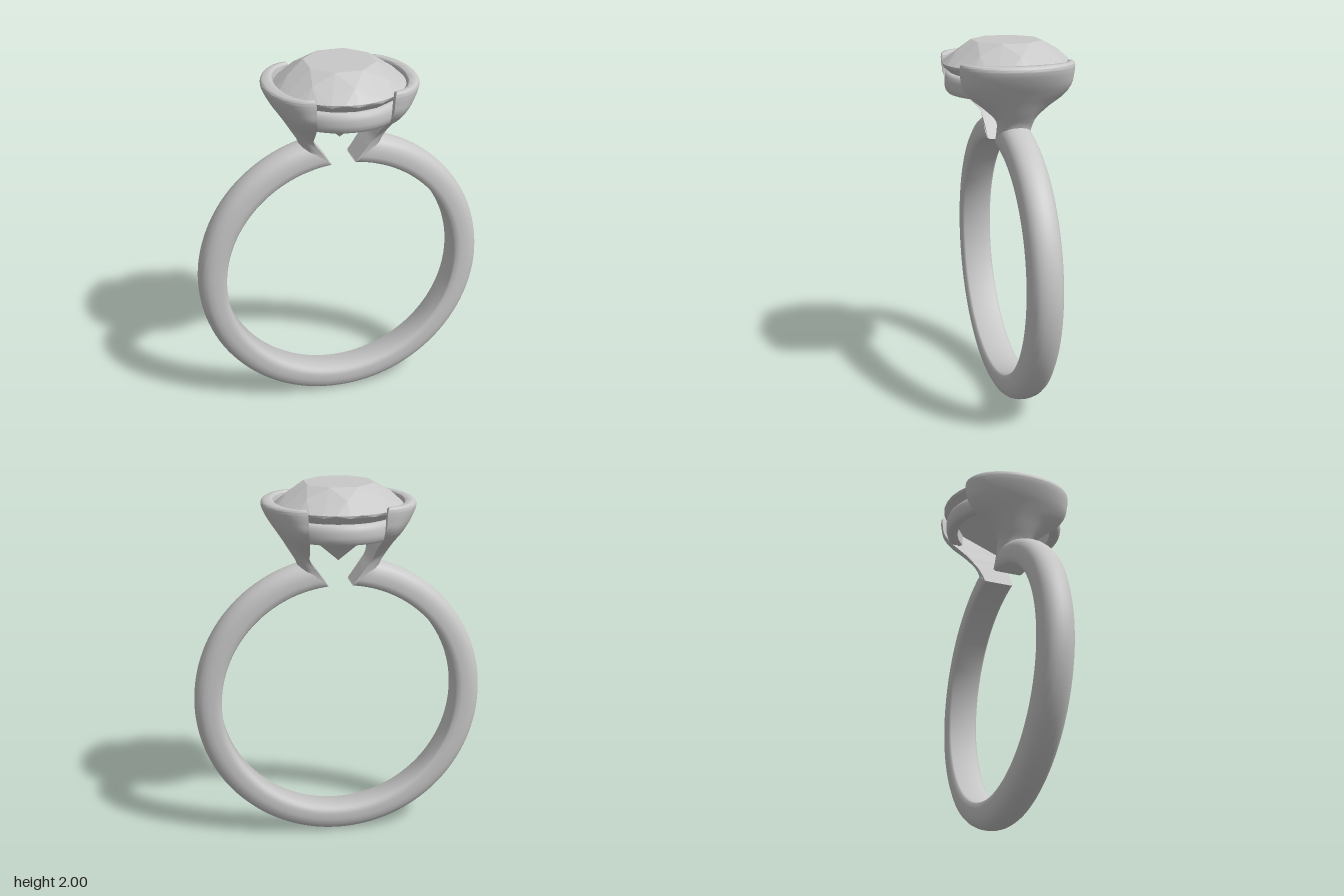
import * as THREE from 'three';
import { toCreasedNormals } from 'three/addons/utils/BufferGeometryUtils.js';
import { ConvexGeometry } from 'three/addons/geometries/ConvexGeometry.js';

// Skin a series of closed rings; each end is closed by a strip pairing point j with its mirror.
function loft(rings, crease = 0.75) {
  const m = rings[0].length, index = [];
  rings.slice(1).forEach((_, i) => {
    for (let j = 0; j < m; j++) {
      const a = i * m + j, b = i * m + (j + 1) % m;
      index.push(a, a + m, b, b, a + m, b + m);
    }
  });
  const last = (rings.length - 1) * m;
  for (let j = 0; j < m / 2 - 1; j++) {
    const o = j, p = j + 1, n = m - 1 - j, q = m - 2 - j;
    index.push(o, p, n, p, q, n);
    index.push(last + o, last + n, last + p, last + p, last + n, last + q);
  }
  const g = new THREE.BufferGeometry();
  g.setAttribute('position', new THREE.Float32BufferAttribute(rings.flat(2), 3));
  g.setIndex(index);
  return toCreasedNormals(g, crease);
}

// Open hoop, flat inside and rounded outside, with slanted ends
function bandGeometry() {
  const half = [[0.655, 0.075], [0.664, 0.086], [0.69, 0.09], [0.725, 0.089], [0.752, 0.083],
    [0.775, 0.07], [0.79, 0.05], [0.798, 0.025], [0.8, 0]];
  const section = [...half, ...half.slice(0, -1).reverse().map(([r, z]) => [r, -z])];
  const rings = [];
  for (let i = 0; i <= 120; i++) {
    rings.push(section.map(([r, z]) => {
      const start = THREE.MathUtils.mapLinear(r, 0.655, 0.8, 0.1, 0.285);
      const a = THREE.MathUtils.lerp(start, 2 * Math.PI - start, i / 120);
      return [r * Math.sin(a), 0.8 + r * Math.cos(a), z];
    }));
  }
  return loft(rings);
}

// Stem flaring from the band end into a curved wall that cups the stone
function cupGeometry() {
  // inner x, inner y, outer x, outer y, edge x, outer half width, inner half width, roundness
  const levels = [
    [0.068, 1.457, 0.225, 1.562, 0.068, 0.086, 0.082, 0.4],
    [0.12, 1.53, 0.235, 1.59, 0.12, 0.09, 0.085, 0.45],
    [0.168, 1.6, 0.268, 1.643, 0.168, 0.106, 0.098, 0.55],
    [0.185, 1.665, 0.303, 1.7, 0.177, 0.17, 0.15, 0.75],
    [0.215, 1.73, 0.336, 1.75, 0.19, 0.25, 0.22, 0.9],
    [0.27, 1.79, 0.37, 1.8, 0.2, 0.293, 0.26, 1],
    [0.325, 1.845, 0.398, 1.85, 0.202, 0.304, 0.268, 1],
    [0.342, 1.885, 0.411, 1.885, 0.204, 0.307, 0.27, 1],
    [0.345, 1.905, 0.406, 1.904, 0.208, 0.303, 0.272, 1],
    [0.352, 1.912, 0.392, 1.912, 0.215, 0.295, 0.278, 1],
  ];
  const tracks = levels[0].map((_, k) =>
    new THREE.SplineCurve(levels.map((l, i) => new THREE.Vector2(i, l[k]))));
  const rings = [], N = 28, steps = 45;
  for (let i = 0; i <= steps; i++) {
    const [xi, yi, xo, yo, ex, w, wi, p] = tracks.map((c) => c.getPoint(i / steps).y);
    const point = (j, x, width) => {
      const a = (j / N - 0.5) * Math.PI;
      const px = ex + (x - ex) * Math.pow(Math.max(0, Math.cos(a)), p);
      const t = THREE.MathUtils.clamp((px - xi) / (xo - xi), 0, 1);
      return [px, yi + (yo - yi) * t, width * Math.sin(a)];
    };
    const ring = [];
    for (let j = 0; j <= N; j++) ring.push(point(j, xo, w));
    for (let j = N; j >= 0; j--) ring.push(point(j, xi, wi));
    rings.push(ring);
  }
  return loft(rings, 0.8);
}

// Curved bar under the stone
function galleryGeometry() {
  const profile = [[0.265, 1.735], [0.3, 1.724], [0.315, 1.727], [0.326, 1.742], [0.331, 1.765], [0.331, 1.795],
    [0.326, 1.818], [0.315, 1.83], [0.3, 1.833], [0.265, 1.825], [0.265, 1.735]];
  return toCreasedNormals(
    new THREE.LatheGeometry(profile.map(([r, y]) => new THREE.Vector2(r, y)), 32, -0.8, 1.6), 0.75);
}

// Round brilliant: table, star points, girdle and pointed base
function gemGeometry() {
  const points = [new THREE.Vector3(0, 1.575, 0)];
  const ring = (n, r, y, offset) => {
    for (let i = 0; i < n; i++) {
      const a = ((i + offset) / n) * 2 * Math.PI;
      points.push(new THREE.Vector3(r * Math.sin(a), y, r * Math.cos(a)));
    }
  };
  ring(8, 0.19, 2, 0.5);
  ring(8, 0.278, 1.946, 0);
  ring(32, 0.346, 1.885, 0);
  ring(16, 0.344, 1.87, 0);
  return new ConvexGeometry(points);
}

export function createModel() {
  const silver = new THREE.MeshStandardMaterial({ color: 0xc8c8c8 });
  silver.name = 'silver grey';
  const group = new THREE.Group();
  group.name = 'ring';
  const add = (name, geometry, turn = 0) => {
    const mesh = new THREE.Mesh(geometry, silver);
    mesh.name = name;
    mesh.rotation.y = turn;
    group.add(mesh);
  };
  add('band', bandGeometry());
  add('gemstone', gemGeometry());
  const cup = cupGeometry(), gallery = galleryGeometry();
  add('leftCup', cup);
  add('rightCup', cup, Math.PI);
  add('frontGallery', gallery);
  add('backGallery', gallery, Math.PI);
  return group;
}
